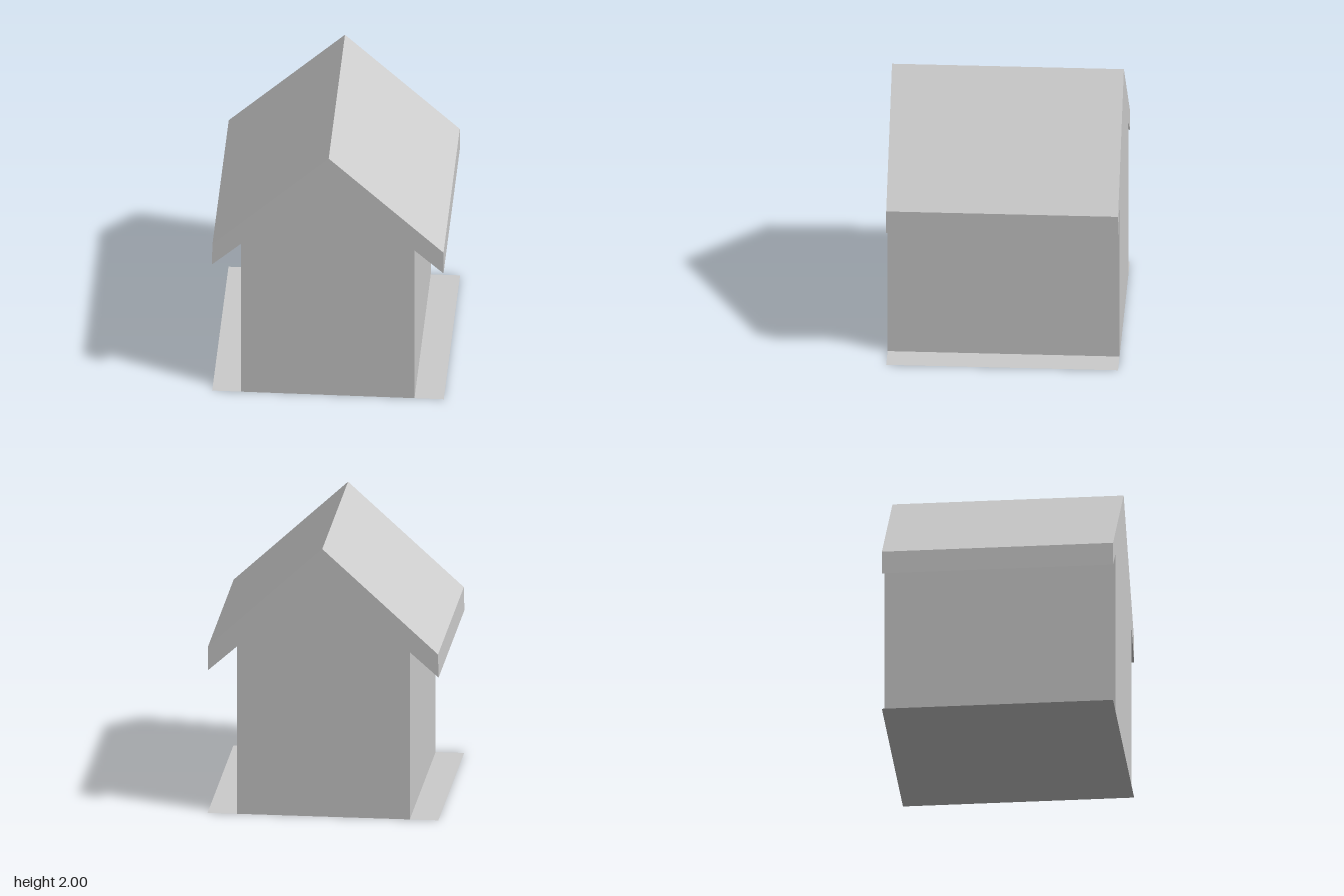
import * as THREE from 'three';

const HALF_DEPTH = 0.83;

export function createModel() {
  const group = new THREE.Group();
  const material = new THREE.MeshStandardMaterial({ color: 0xcccccc, flatShading: true });

  // House: gable outline with overhanging eaves, run from front to back
  const outline = [
    [-0.625, 0], [0.62, 0], [0.62, 1.25], [0.828, 1.065], [0.828, 1.24],
    [0.005, 2], [-0.828, 1.24], [-0.832, 1.067], [-0.625, 1.25],
  ].map(([x, y]) => new THREE.Vector2(x, y));
  const houseGeometry = new THREE.ExtrudeGeometry(new THREE.Shape(outline), {
    depth: 2 * HALF_DEPTH,
    bevelEnabled: false,
  });
  houseGeometry.translate(0, 0, -HALF_DEPTH);
  const house = new THREE.Mesh(houseGeometry, material);
  house.name = 'houseWallsAndRoof';
  group.add(house);

  // Thin floor sheet, as wide as the eaves
  const floorMaterial = material.clone();
  floorMaterial.side = THREE.DoubleSide;
  const floor = new THREE.Mesh(new THREE.PlaneGeometry(1.66, 2 * HALF_DEPTH), floorMaterial);
  floor.rotation.x = -Math.PI / 2;
  floor.name = 'floor';
  group.add(floor);

  return group;
}
